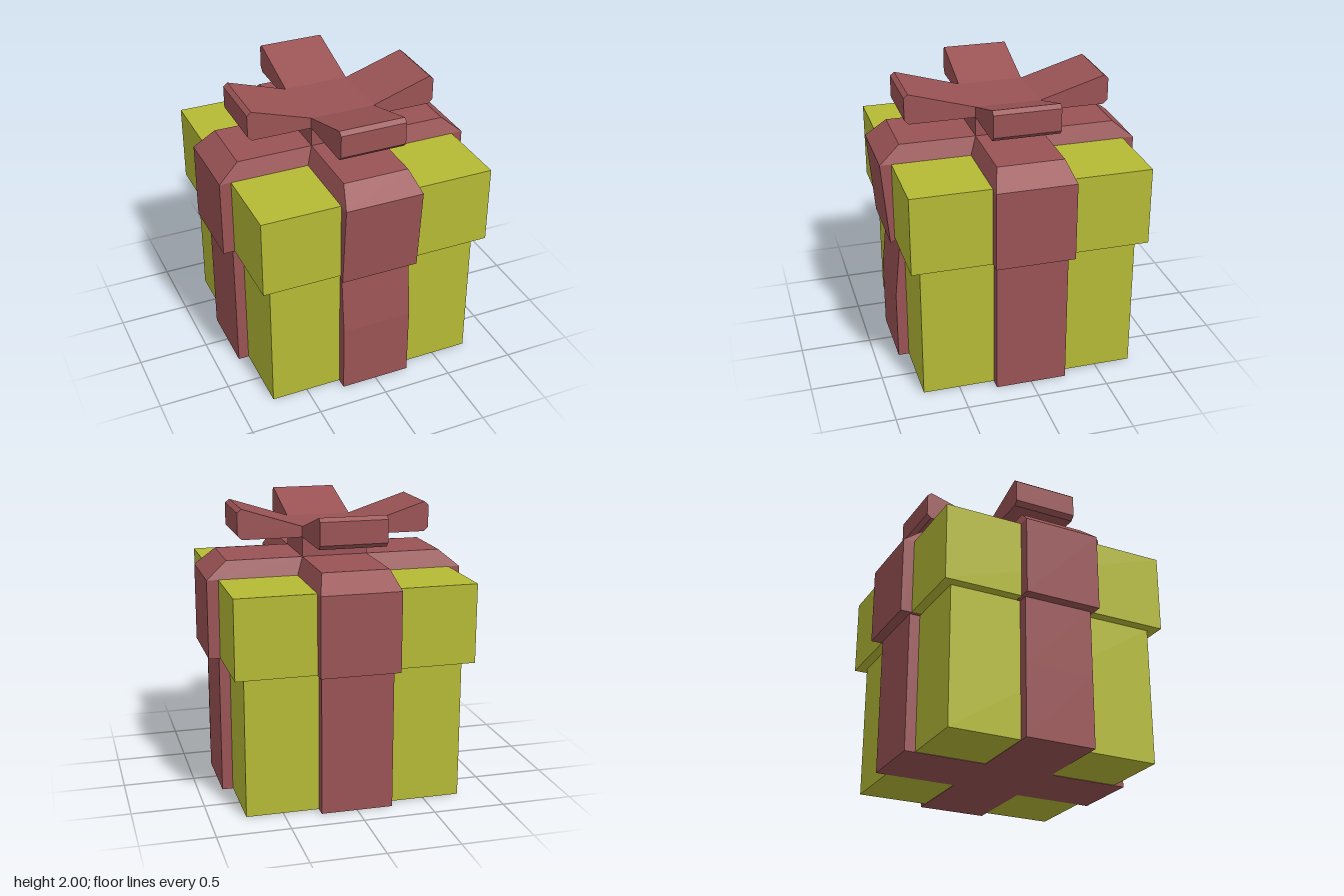
import * as THREE from 'three';

const paper = new THREE.MeshStandardMaterial({ color: 0xb5ba35, flatShading: true });
const ribbon = new THREE.MeshStandardMaterial({ color: 0x9a5355, flatShading: true });

function addMesh(parent, name, geometry, material) {
  const mesh = new THREE.Mesh(geometry, material);
  mesh.name = name;
  parent.add(mesh);
  return mesh;
}

// Box standing between two heights
function addBlock(parent, name, width, y0, y1, material) {
  const mesh = addMesh(parent, name, new THREE.BoxGeometry(width, y1 - y0, width), material);
  mesh.position.y = (y0 + y1) / 2;
}

// Plus-shaped ring, counterclockwise from above, five points per arm.
// frontTip optionally moves the end of the front arm.
function crossRing({ y, half, reach, frontTip }) {
  const points = [];
  const inner = reach - 0.125;
  const arm = [[inner, -half], [reach, -half], [reach, half], [inner, half], [half, half]];
  for (let k = 0; k < 4; k++) {
    const c = [1, 0, -1, 0][k], s = [0, 1, 0, -1][k];
    arm.forEach(([a, b], i) => {
      const p = new THREE.Vector3(a * c - b * s, y, -(a * s + b * c));
      if (frontTip && k === 3 && (i === 1 || i === 2)) {
        p.y = frontTip.y;
        p.z = frontTip.z;
      }
      points.push(p);
    });
  }
  return points;
}

// Closed solid lofted through plus-shaped rings
function crossSolid(levels) {
  const rings = levels.map(crossRing);
  const n = 20;
  const positions = rings.flat().flatMap((p) => p.toArray());
  const index = [];
  const quad = (a, b, c, d) => index.push(a, b, c, a, c, d);
  for (let r = 0; r < rings.length - 1; r++) {
    for (let i = 0; i < n; i++) {
      const j = (i + 1) % n;
      quad(r * n + i, r * n + j, (r + 1) * n + j, (r + 1) * n + i);
    }
  }
  const top = (rings.length - 1) * n;
  const capQuads = [[4, 9, 14, 19]];
  for (let k = 0; k < 4; k++) {
    const o = k * 5;
    capQuads.push([o, o + 1, o + 2, o + 3], [(o + 19) % n, o, o + 3, o + 4]);
  }
  for (const [a, b, c, d] of capQuads) {
    quad(top + a, top + b, top + c, top + d);
    quad(d, c, b, a);
  }
  const geometry = new THREE.BufferGeometry();
  geometry.setAttribute('position', new THREE.Float32BufferAttribute(positions, 3));
  geometry.setIndex(index);
  const flat = geometry.toNonIndexed();
  flat.computeVertexNormals();
  return flat;
}

// Two flared loops joined by a flat middle
function bowGeometry(reach) {
  const side = [[0.23, 1.865], [reach - 0.03, 2], [reach, 1.975], [reach, 1.82], [reach - 0.03, 1.79]];
  const mirrored = side.map(([x, y]) => [-x, y]).reverse();
  const shape = new THREE.Shape([...side, ...mirrored].map(([x, y]) => new THREE.Vector2(x, y)));
  return new THREE.ExtrudeGeometry(shape, { depth: 0.46, bevelEnabled: false }).translate(0, 0, -0.23);
}

export function createModel() {
  const gift = new THREE.Group();
  gift.name = 'giftBox';

  // Wrapped box and lid
  addBlock(gift, 'box', 1.51, 0.003, 0.99, paper);
  addBlock(gift, 'lid', 1.65, 0.985, 1.535, paper);

  // Ribbon around the box, pinched under the lid at the front
  addMesh(gift, 'boxRibbon', crossSolid([
    { y: 0, half: 0.25, reach: 0.83 },
    { y: 0.5, half: 0.25, reach: 0.83 },
    { y: 0.987, half: 0.25, reach: 0.83, frontTip: { y: 0.987, z: 0.78 } },
  ]), ribbon);

  // Ribbon around the lid with bevelled top and a hanging front flap
  addMesh(gift, 'lidRibbon', crossSolid([
    { y: 0.983, half: 0.275, reach: 0.905, frontTip: { y: 0.945, z: 0.855 } },
    { y: 1.535, half: 0.275, reach: 0.905 },
    { y: 1.655, half: 0.23, reach: 0.76 },
  ]), ribbon);

  // Knot and crossed bows
  const bow = new THREE.Group();
  bow.name = 'bow';
  gift.add(bow);
  addBlock(bow, 'knot', 0.46, 1.64, 1.8, ribbon);
  addMesh(bow, 'sideLoops', bowGeometry(0.68), ribbon);
  addMesh(bow, 'frontBackLoops', bowGeometry(0.717), ribbon).rotation.y = Math.PI / 2;

  return gift;
}
